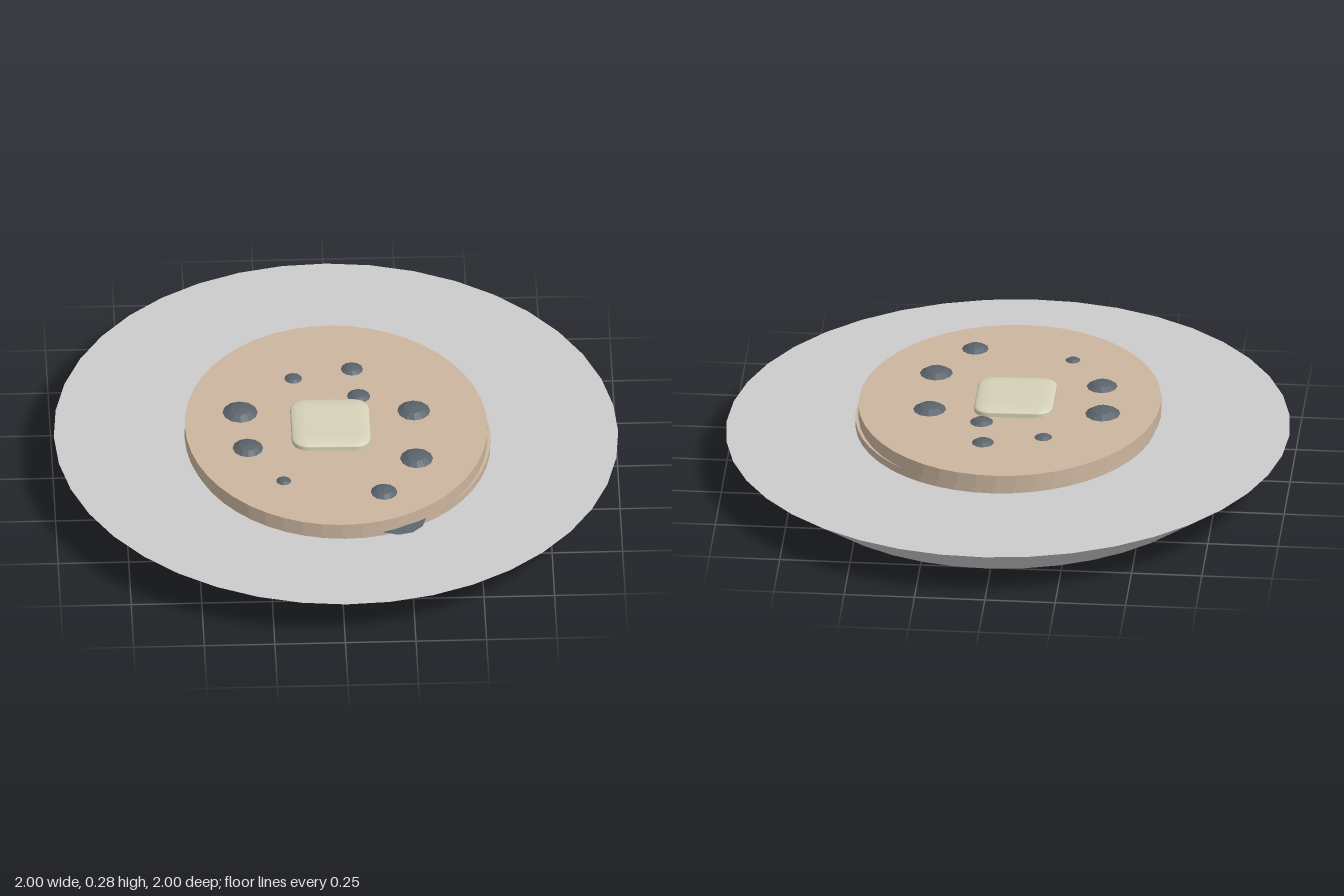
import * as THREE from 'three';
import { RoundedBoxGeometry } from 'three/addons/geometries/RoundedBoxGeometry.js';

const material = (color, flatShading = true) =>
  new THREE.MeshStandardMaterial({ color, flatShading });
const grey = material(0xcccccc);
const batter = material(0xcbb59f);
const berryBlue = material(0x5a636b);
const butterCream = material(0xd4d0b8, false);

function addMesh(parent, name, geometry, mat, x, y, z) {
  const mesh = new THREE.Mesh(geometry, mat);
  mesh.name = name;
  mesh.position.set(x, y, z);
  parent.add(mesh);
  return mesh;
}

// Oval disc lying between two heights
function addPancake(parent, name, x, z, rx, rz, bottom, top) {
  const geometry = new THREE.CylinderGeometry(1, 1, top - bottom, 48);
  geometry.scale(rx, 1, rz);
  return addMesh(parent, name, geometry, batter, x, (top + bottom) / 2, z);
}

// Shallow faceted cap with its rim just under the pancake surface
function addBerry(parent, x, z, radius, surface, rise = 0.36) {
  const R = radius / Math.sin(Math.PI / 3);
  const geometry = new THREE.SphereGeometry(R, 12, 2, 0, Math.PI * 2, 0, Math.PI / 3);
  geometry.translate(0, -R / 2, 0);
  geometry.scale(1, (rise * radius) / (R / 2), 1);
  return addMesh(parent, 'blueberry', geometry, berryBlue, x, surface - 0.001, z);
}

export function createModel() {
  const model = new THREE.Group();
  model.name = 'pancakePlate';

  // The whole serving leans slightly toward +x
  const serving = new THREE.Group();
  serving.name = 'serving';
  serving.position.y = 0.012;
  serving.rotation.z = -0.015;
  model.add(serving);

  // Plate with sloping wall
  addMesh(serving, 'plate', new THREE.CylinderGeometry(1, 0.78, 0.158, 40), grey, 0, 0.079, 0);

  // Two stacked pancakes
  addPancake(serving, 'lowerPancake', 0.01, 0.055, 0.535, 0.56, 0.15, 0.186);
  addPancake(serving, 'upperPancake', -0.003, 0.057, 0.536, 0.585, 0.19, 0.24);

  // Berries squeezed between the pancakes
  addBerry(serving, 0.2, 0.53, 0.1, 0.186, 0.12);
  addBerry(serving, -0.3, 0.4, 0.1, 0.186, 0.12);

  // Berries on top: x, z, radius
  const berries = [
    [-0.34, -0.025, 0.064], [-0.32, 0.185, 0.056], [-0.145, -0.22, 0.033],
    [0.065, -0.272, 0.041], [0.083, -0.113, 0.043], [0.275, -0.025, 0.06],
    [0.275, 0.255, 0.06], [0.153, 0.45, 0.049], [-0.2, 0.38, 0.028],
  ];
  for (const [x, z, radius] of berries) addBerry(serving, x, z, radius, 0.24);

  // Butter pat, a softened square
  const butter = new RoundedBoxGeometry(0.28, 0.28, 0.28, 4, 0.055);
  butter.scale(1, 0.25, 1);
  addMesh(serving, 'butter', butter, butterCream, -0.023, 0.232, 0.065);

  return model;
}
